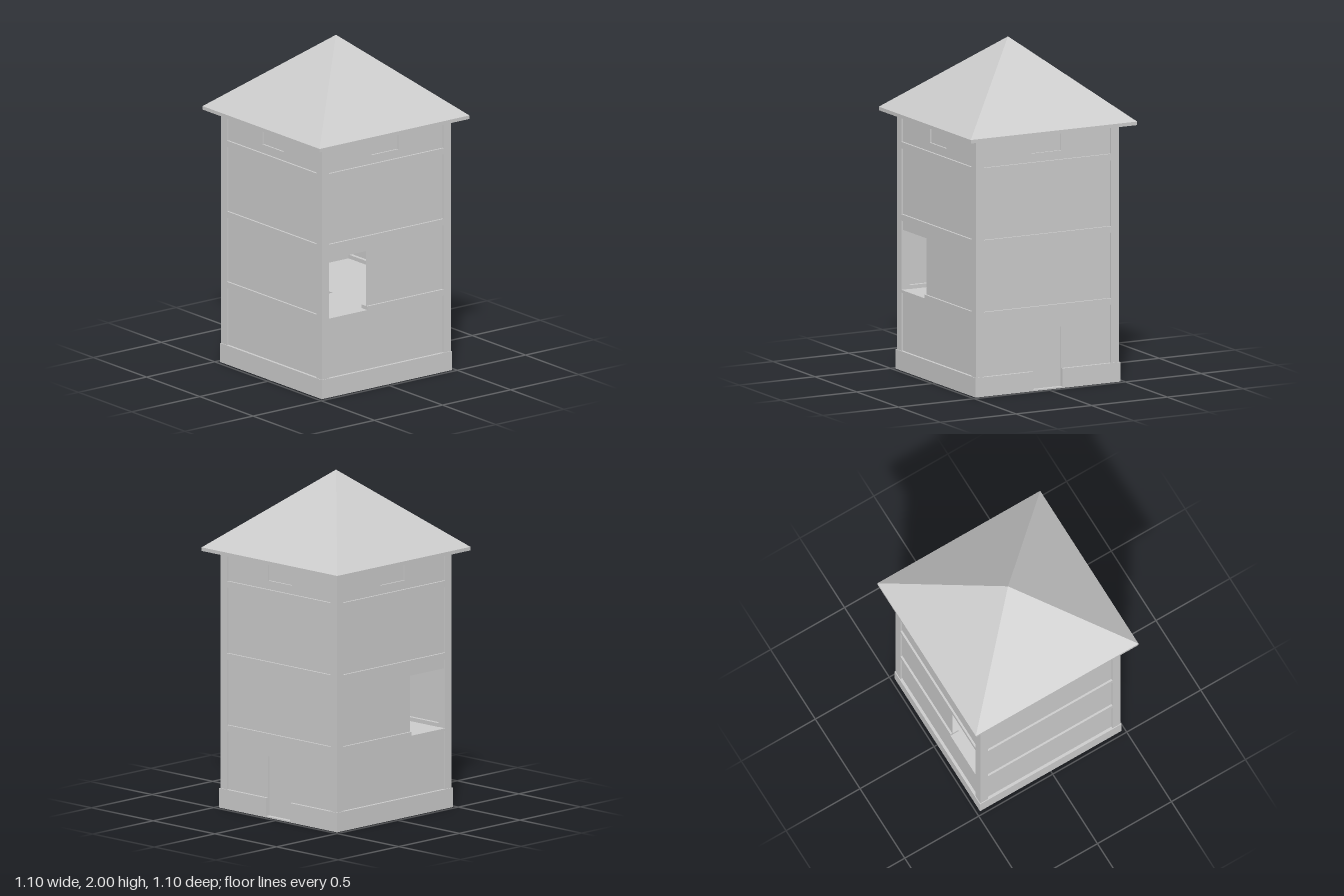
import * as THREE from 'three';

const OUT = 0.473;    // outer face of posts and rails
const POST = 0.053;   // post size
const WALL = 0.461;   // outer face of the recessed wall panels
const LEAF = 0.451;   // outer face of door and hatch leaves
const TOP = 1.525;    // top of the walls
const IN = OUT - POST;
const RAILS = [0.478, 0.903, 1.33];

export function createModel() {
  const stone = new THREE.MeshStandardMaterial({ color: 0xcccccc });
  stone.name = 'light grey';
  const model = new THREE.Group();
  model.name = 'watchtower';

  function add(parent, name, geometry) {
    const mesh = new THREE.Mesh(geometry, stone);
    mesh.name = name;
    parent.add(mesh);
    return mesh;
  }
  // Box given by its lower and upper bounds on each axis
  function box(parent, name, x0, x1, y0, y1, z0, z1) {
    const mesh = add(parent, name, new THREE.BoxGeometry(x1 - x0, y1 - y0, z1 - z0));
    mesh.position.set((x0 + x1) / 2, (y0 + y1) / 2, (z0 + z1) / 2);
    return mesh;
  }
  function rectHole(x0, x1, y0, y1) {
    return new THREE.Path([[x0, y0], [x0, y1], [x1, y1], [x1, y0]].map(p => new THREE.Vector2(...p)));
  }

  // One side of the tower, built facing +z and then turned
  function side(name, angle, windowSpan, hasDoor) {
    const g = new THREE.Group();
    g.name = name;
    g.rotation.y = angle;
    model.add(g);

    // Thin wall panel with its openings
    const outline = [[-0.1, TOP], [-0.1, 1.4], [0.097, 1.4], [0.097, TOP], [0.44, TOP], [0.44, 0.1]];
    if (hasDoor) outline.push([0.097, 0.1], [0.097, 0.36], [-0.097, 0.36], [-0.097, 0.1]);
    outline.push([-0.44, 0.1], [-0.44, TOP]);
    const shape = new THREE.Shape(outline.map(p => new THREE.Vector2(...p)));
    if (windowSpan) shape.holes.push(rectHole(windowSpan[0], windowSpan[1], 0.475, 0.828));
    const wall = add(g, 'wallPanel', new THREE.ExtrudeGeometry(shape, { depth: 0.02, bevelEnabled: false }));
    wall.position.z = WALL - 0.02;
    box(g, 'upperHatch', -0.105, 0.102, 1.39, TOP, LEAF - 0.008, LEAF);

    // Rails between the corner posts, notched below a window
    RAILS.forEach((y, i) => {
      const low = y - 0.019, high = y + 0.019;
      if (windowSpan && i === 0) {
        const [a, b] = windowSpan;
        box(g, 'rail', a, b, low, 0.475, IN, OUT);
        if (a < 0) box(g, 'rail', b, IN, low, high, IN, OUT);
        else box(g, 'rail', -IN, a, low, high, IN, OUT);
      } else box(g, 'rail', -IN, IN, low, high, IN, OUT);
    });

    // Plinth, opened for the door
    const inner = 0.395, outer = 0.478;
    if (hasDoor) {
      box(g, 'plinth', -outer, -0.097, 0, 0.115, inner, outer);
      box(g, 'plinth', 0.097, outer, 0, 0.115, inner, outer);
      box(g, 'doorSill', -0.097, 0.097, 0, 0.008, inner, outer);
      box(g, 'door', -0.105, 0.105, 0.008, 0.37, LEAF - 0.02, LEAF);
    } else box(g, 'plinth', -outer, outer, 0, 0.115, inner, outer);
  }
  side('frontSide', 0, null, false);
  side('leftSide', Math.PI / 2, [-0.42, -0.14], false);
  side('backSide', Math.PI, null, true);
  side('rightSide', -Math.PI / 2, [0.14, 0.42], false);

  // Corner posts
  for (const sx of [-1, 1]) for (const sz of [-1, 1]) {
    const post = box(model, 'cornerPost', 0, POST, 0.1, TOP, 0, POST);
    post.position.x = sx * (OUT - POST / 2);
    post.position.z = sz * (OUT - POST / 2);
  }

  // Floors; the lowest has a hatch for the ladder
  RAILS.forEach((y, i) => {
    const h = 0.445;
    const floor = new THREE.Shape([[-h, -h], [h, -h], [h, h], [-h, h]].map(p => new THREE.Vector2(...p)));
    if (i === 0) floor.holes.push(rectHole(-0.09, 0.07, -0.22, -0.08));
    const mesh = add(model, 'floor', new THREE.ExtrudeGeometry(floor, { depth: 0.02, bevelEnabled: false }));
    mesh.rotation.x = -Math.PI / 2;
    mesh.position.y = y - 0.024;
  });

  // Ladder leaning towards the front
  const ladder = new THREE.Group();
  ladder.name = 'ladder';
  ladder.position.set(-0.01, 0.01, 0.03);
  ladder.rotation.x = Math.atan2(0.09, 0.34);
  model.add(ladder);
  for (const x of [-0.06, 0.06]) box(ladder, 'ladderRail', x - 0.008, x + 0.008, 0, 0.49, -0.008, 0.008);
  for (let i = 0; i < 10; i++) {
    const rung = add(ladder, 'rung', new THREE.CylinderGeometry(0.006, 0.006, 0.12, 8));
    rung.rotation.z = Math.PI / 2;
    rung.position.y = 0.035 + i * 0.046;
  }

  // Eaves slab and four-sided roof
  box(model, 'eaves', -0.55, 0.55, 1.52, 1.541, -0.55, 0.55);
  const roofGeometry = new THREE.ConeGeometry(0.55 * Math.SQRT2, 0.459, 4, 1, true).toNonIndexed();
  roofGeometry.rotateY(Math.PI / 4);
  roofGeometry.computeVertexNormals();
  add(model, 'roof', roofGeometry).position.y = 1.541 + 0.459 / 2;

  return model;
}
